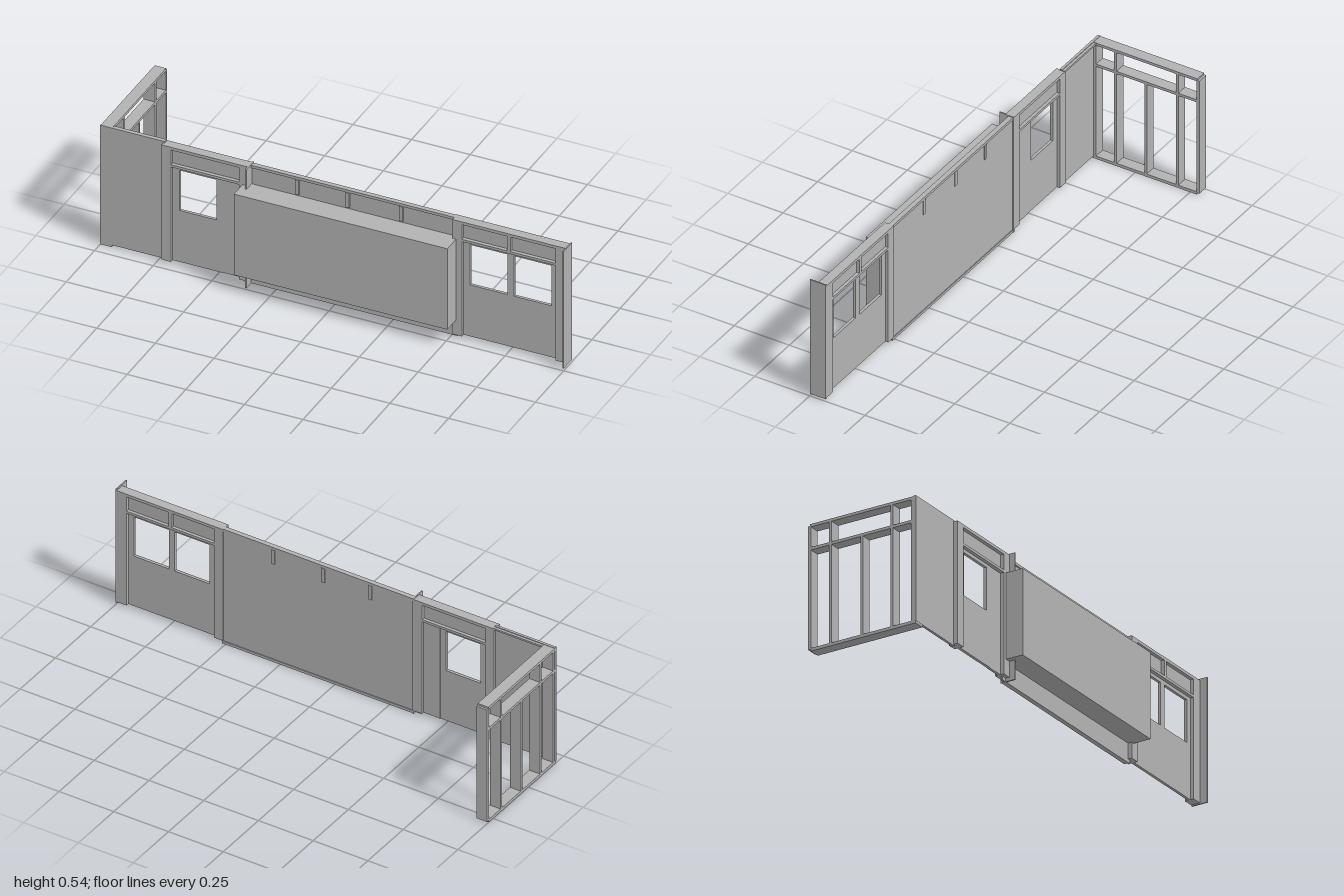
import * as THREE from 'three';

export function createModel() {
  const model = new THREE.Group();
  const grey = new THREE.MeshStandardMaterial({ color: 0xb2b2b2 });
  grey.name = 'plain grey';

  // Box given by its limits on each axis
  function slab(name, x0, x1, y0, y1, z0, z1) {
    const mesh = new THREE.Mesh(new THREE.BoxGeometry(x1 - x0, y1 - y0, z1 - z0), grey);
    mesh.position.set((x0 + x1) / 2, (y0 + y1) / 2, (z0 + z1) / 2);
    mesh.name = name;
    model.add(mesh);
  }

  // Door leaf with a window hole
  function door(name, x0, x1, w0, w1) {
    const shape = new THREE.Shape([[x0, 0.015], [x1, 0.015], [x1, 0.446], [x0, 0.446]]
      .map(p => new THREE.Vector2(...p)));
    shape.holes.push(new THREE.Path([[w0, 0.248], [w0, 0.43], [w1, 0.43], [w1, 0.248]]
      .map(p => new THREE.Vector2(...p))));
    const mesh = new THREE.Mesh(
      new THREE.ExtrudeGeometry(shape, { depth: 0.012, bevelEnabled: false }), grey);
    mesh.position.z = 0.19;
    mesh.name = name;
    model.add(mesh);
  }

  const back = 0.177, front = 0.217;

  // Plain end wall and long centre wall
  slab('endWall', -1, -0.725, 0.01, 0.541, 0.188, 0.199);
  slab('endWallTopRail', -0.95, -0.725, 0.53, 0.538, back, 0.188);
  slab('centreWall', -0.36, 0.515, 0.005, 0.535, 0.183, 0.195);
  slab('centreSill', -0.36, 0.515, 0, 0.012, 0.18, 0.2);
  slab('centreTopRail', -0.36, 0.515, 0.523, 0.535, 0.18, 0.2);
  for (const x of [-0.16, 0.055, 0.283])
    slab('centreMullion', x - 0.008, x + 0.008, 0.457, 0.523, 0.179, 0.203);

  // Projecting cabinet and the plinth below it
  slab('cabinet', -0.385, 0.525, 0.082, 0.449, 0.196, 0.293);
  slab('plinth', -0.385, 0.525, 0, 0.082, 0.193, 0.2);

  // Door bays: posts, rails, transom panels and doors
  for (const [x0, x1] of [[-0.73, -0.69], [-0.4, -0.36], [0.51, 0.55], [0.95, 0.996]])
    slab('post', x0, x1, 0.015, 0.535, back, front);
  for (const [x0, x1] of [[-0.69, -0.4], [0.55, 0.95]]) {
    slab('topRail', x0, x1, 0.522, 0.535, back, front);
    slab('headerRail', x0, x1, 0.445, 0.456, back, front);
    slab('transomPanel', x0, x1, 0.456, 0.522, 0.19, 0.202);
  }
  slab('transomDivider', 0.743, 0.757, 0.456, 0.522, back, front);
  door('singleDoor', -0.69, -0.476, -0.66, -0.502);
  slab('doorSidePanel', -0.476, -0.4, 0.015, 0.446, 0.188, 0.2);
  door('pairDoor', 0.55, 0.748, 0.578, 0.738);
  door('pairDoor', 0.748, 0.95, 0.765, 0.925);

  // Thin upright fins
  slab('cabinetFin', -0.362, -0.356, 0, 0.538, back, 0.242);
  slab('endFin', 0.995, 1, 0.01, 0.541, 0.178, 0.25);

  // Open stud frame at the return end
  const a = -1, b = -0.951;
  slab('frameSill', a, b, 0, 0.013, -0.28, 0.198);
  slab('frameMidRail', a, b, 0.429, 0.441, -0.28, 0.188);
  slab('frameTopRail', a, b, 0.527, 0.539, -0.283, 0.188);
  slab('frameStud', a, b, 0.008, 0.531, -0.292, -0.28);
  for (const z of [0.182, 0.089, -0.191]) {
    slab('frameStud', a, b, 0.013, 0.429, z - 0.0055, z + 0.0055);
    slab('frameUpperStud', a, b, 0.441, 0.527, z - 0.0055, z + 0.0055);
  }
  slab('frameStud', a, b, 0.013, 0.429, -0.0535, -0.0425);

  return model;
}
